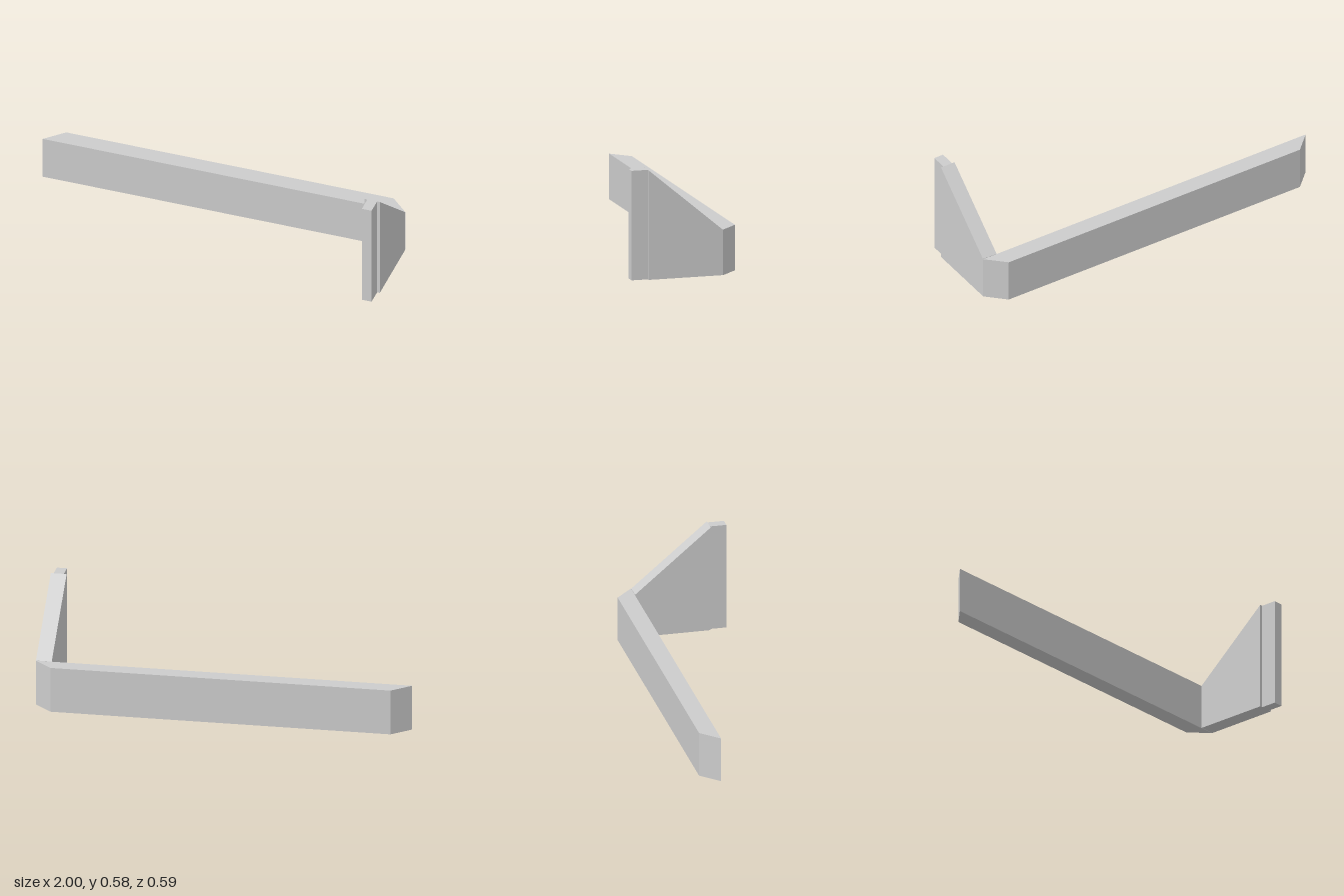
import * as THREE from 'three';

const stone = new THREE.MeshStandardMaterial({ color: 0xcccccc });
stone.name = 'light grey';

function extrude(points, depth) {
  const shape = new THREE.Shape(points.map(([x, y]) => new THREE.Vector2(x, y)));
  return new THREE.ExtrudeGeometry(shape, { depth, bevelEnabled: false });
}

export function createModel() {
  const model = new THREE.Group();
  const add = (name, geometry) => {
    const mesh = new THREE.Mesh(geometry, stone);
    mesh.name = name;
    model.add(mesh);
  };

  // Long low wall with mitred ends; plan outline is (x, -z)
  const wall = extrude([[-1, 0.2], [1, 0.2], [0.903, 0.295], [-0.903, 0.295]], 0.243);
  wall.rotateX(-Math.PI / 2);
  add('longWall', wall);

  // Side wall with a sloping top; side outline is (z, y)
  const side = extrude([[-0.198, 0], [0.207, 0], [0.207, 0.584], [-0.198, 0.243]], 0.084);
  side.rotateY(-Math.PI / 2).translate(1, 0, 0);
  add('slopedSideWall', side);

  // Narrow post at the front end of the side wall
  const post = new THREE.BoxGeometry(0.054, 0.584, 0.088);
  post.translate(0.958, 0.292, 0.251);
  add('endPost', post);

  return model;
}
